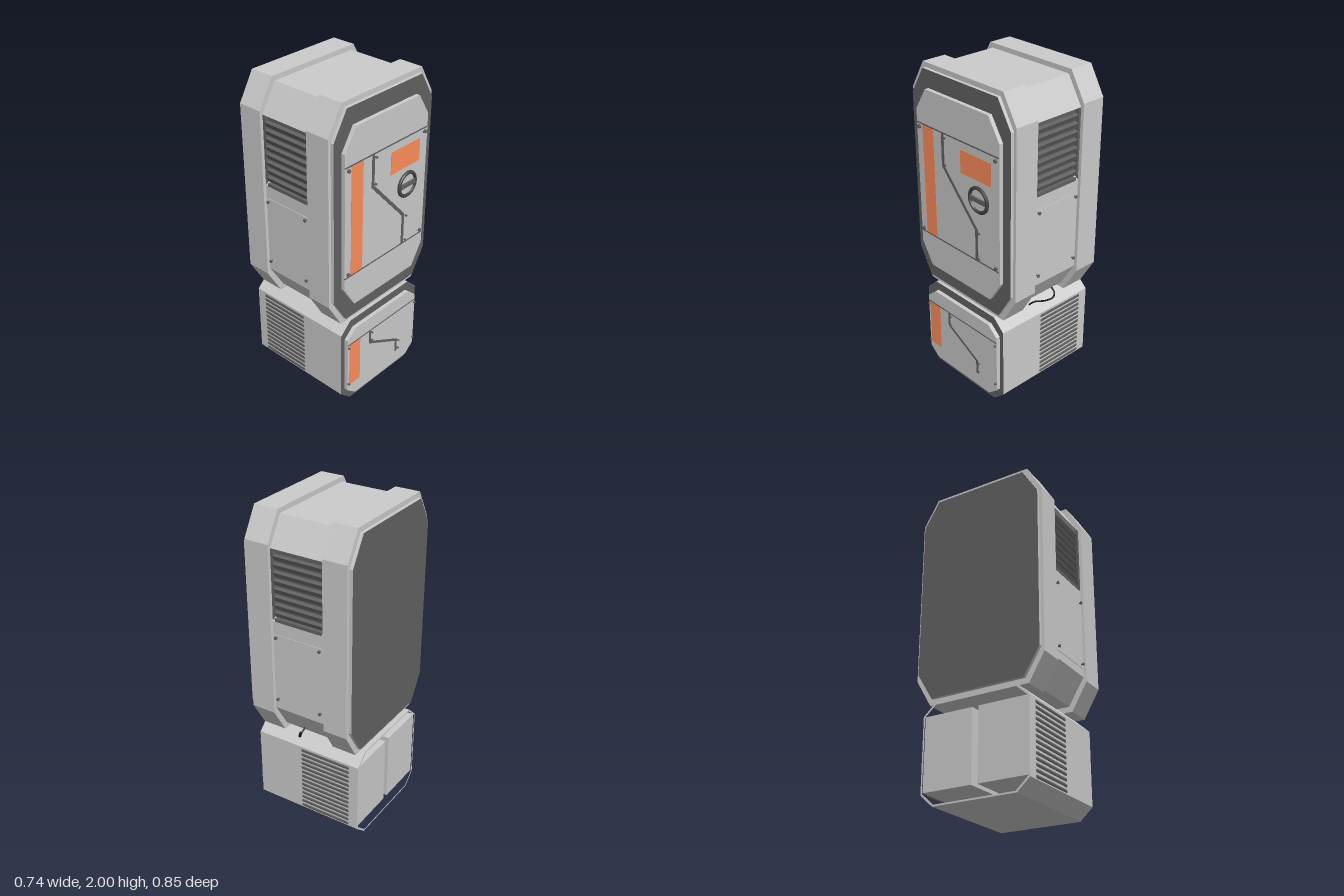
import * as THREE from 'three';

const mat = (color) => new THREE.MeshStandardMaterial({ color });
const grey = mat(0xcccccc), dark = mat(0x626262), orange = mat(0xff8e5c), black = mat(0x1a1a1a);

// Chamfered rectangle in (z, y): half depth, bottom, top, chamfer depth and chamfer height
const octagon = (hz, y0, y1, cz, cy) => [
  [hz - cz, y0], [hz, y0 + cy], [hz, y1 - cy], [hz - cz, y1],
  [cz - hz, y1], [-hz, y1 - cy], [-hz, y0 + cy], [cz - hz, y0],
];
const toVectors = (pts) => pts.map(([z, y]) => new THREE.Vector2(-z, y));

export function createModel() {
  const root = new THREE.Group();

  const add = (name, geometry, material, parent = root) => {
    const mesh = new THREE.Mesh(geometry, material);
    mesh.name = name;
    parent.add(mesh);
    return mesh;
  };
  // Extrude a (z, y) outline from x0 to x1; material may be [ends, sides]
  const slab = (name, pts, x0, x1, material, hole) => {
    const shape = new THREE.Shape(toVectors(pts));
    if (hole) shape.holes.push(new THREE.Path(toVectors(hole)));
    const g = new THREE.ExtrudeGeometry(shape, { depth: x1 - x0, bevelEnabled: false });
    g.rotateY(Math.PI / 2).translate(x0, 0, 0);
    return add(name, g, material);
  };
  const box = (name, x0, x1, y0, y1, z0, z1, material, parent) => {
    const mesh = add(name, new THREE.BoxGeometry(x1 - x0, y1 - y0, z1 - z0), material, parent);
    mesh.position.set((x0 + x1) / 2, (y0 + y1) / 2, (z0 + z1) / 2);
    return mesh;
  };
  // Bolt standing on the side face (+x)
  const sideBolt = (z, y, r) => {
    const mesh = add('sideBolt', new THREE.CylinderGeometry(r, r, 0.012, 12), dark);
    mesh.rotation.z = -Math.PI / 2;
    mesh.position.set(0.36, y, z);
  };
  // Raised dark trim following a bent line on the side face
  const trim = (pts, w = 0.01) => {
    const n = pts.length;
    const slope = (a, b) => {
      const d = Math.hypot(b[0] - a[0], b[1] - a[1]);
      return [-(b[1] - a[1]) / d, (b[0] - a[0]) / d];
    };
    const edge = (s) => pts.map((p, i) => {
      const a = slope(pts[Math.max(i - 1, 0)], pts[Math.max(i, 1)]);
      const b = slope(pts[Math.min(i, n - 2)], pts[Math.min(i + 1, n - 1)]);
      const k = (s * w) / (1 + a[0] * b[0] + a[1] * b[1]);
      return [p[0] + (a[0] + b[0]) * k, p[1] + (a[1] + b[1]) * k];
    });
    slab('panelTrim', [...edge(1), ...edge(-1).reverse()], 0.35, 0.358, dark);
  };

  // Upper cabinet: solid ends, and a middle notched front and back for the vents
  const body = octagon(0.405, 0.635, 1.97, 0.1, 0.165);
  slab('cabinetEnd', body, -0.365, -0.19, [dark, grey]);
  slab('cabinetEnd', body, 0.155, 0.33, [dark, grey]);
  const d = 0.375, v0 = 1.37, v1 = 1.805;
  const notched = [
    ...body.slice(0, 2), [0.405, v0], [d, v0 + 0.02], [d, v1], ...body.slice(2, 6),
    [-d, v1], [-d, v0 + 0.02], [-0.405, v0], ...body.slice(6),
  ];
  slab('cabinetMiddle', notched, -0.19, 0.155, grey);
  // Ribs wrapped round the cabinet
  const rib = octagon(0.425, 0.6, 2.0, 0.1, 0.17);
  const ribHole = octagon(0.404, 0.636, 1.969, 0.1, 0.165);
  for (const x of [-0.345, 0.155]) slab('cabinetRib', rib, x, x + 0.155, grey, ribHole);

  // Vent, access plate and bolts, repeated front and back
  for (const side of [1, -1]) {
    const face = new THREE.Group();
    face.name = side > 0 ? 'frontFace' : 'backFace';
    root.add(face);
    const span = (name, x0, x1, y0, y1, za, zb, m) =>
      box(name, x0, x1, y0, y1, Math.min(za * side, zb * side), Math.max(za * side, zb * side), m, face);
    span('ventBack', -0.19, 0.155, v0 + 0.02, v1 - 0.005, 0.37, 0.38, dark);
    span('ventSill', -0.17, 0.14, v0, v0 + 0.02, 0.38, 0.407, dark);
    for (const x of [-0.19, 0.14]) span('ventFrame', x, x + 0.015, v0 + 0.03, v1, 0.375, 0.405, dark);
    for (let i = 0; i < 8; i++) {
      const y = 1.415 + i * 0.0485;
      const slat = span('ventSlat', -0.175, 0.14, y - 0.014, y + 0.014, 0.38, 0.402, dark);
      slat.rotation.x = side * 0.35;
    }
    span('accessPlate', -0.18, 0.145, 0.85, 1.29, 0.4, 0.408, grey);
    for (const x of [-0.163, 0.128]) for (const y of [0.87, 1.275]) {
      for (const [r, z, h] of [[0.005, 0.413, 0.014], [0.01, 0.422, 0.006]]) {
        const bolt = add('plateBolt', new THREE.CylinderGeometry(r, r, h, 12), dark, face);
        bolt.rotation.x = Math.PI / 2;
        bolt.position.set(x, y, side * z);
      }
    }
    // Cooling slots of the base
    for (let i = 0; i < 14; i++) {
      const slot = add('baseSlot', new THREE.CapsuleGeometry(0.01, 0.32, 4, 8), dark, face);
      slot.rotation.z = Math.PI / 2;
      slot.scale.z = 0.4;
      slot.position.set(-0.145, 0.09 + i * 0.0318, side * 0.345);
    }
  }

  // Upper side panel
  slab('cabinetSidePanel', octagon(0.345, 0.735, 1.865, 0.085, 0.135), 0.33, 0.355, grey);
  for (const y of [0.95, 1.65]) box('panelSeam', 0.35, 0.357, y - 0.004, y + 0.004, -0.34, 0.345, dark);
  box('orangeStripe', 0.35, 0.3565, 0.954, 1.646, 0.2, 0.295, orange);
  box('orangeLabel', 0.35, 0.3575, 1.46, 1.6, -0.28, -0.03, orange);
  trim([[0.12, 1.65], [0.12, 1.45], [-0.155, 1.15], [-0.155, 0.95]]);
  for (const z of [0.32, -0.318]) for (const y of [0.97, 1.628]) sideBolt(z, y, 0.011);
  for (const [z, y] of [[0.1, 1.625], [0.1, 1.46], [-0.178, 1.135], [-0.178, 0.968]]) sideBolt(z, y, 0.007);

  // Rotary switch: rim, dished face and grip
  const dial = new THREE.Group();
  dial.name = 'rotarySwitch';
  dial.position.set(0.355, 1.345, -0.178);
  dial.rotation.z = -Math.PI / 2;
  root.add(dial);
  const rim = [[0.062, 0], [0.083, 0], [0.083, 0.007], [0.076, 0.014], [0.066, 0.014], [0.062, 0.002]];
  add('switchRim', new THREE.LatheGeometry(rim.map((p) => new THREE.Vector2(...p)), 32), mat(0x444444), dial)
    .material.flatShading = true;
  add('switchFace', new THREE.CylinderGeometry(0.064, 0.064, 0.004, 32), grey, dial);
  box('switchGrip', -0.013, 0.013, 0, 0.014, -0.064, 0.064, dark, dial);

  // Base: shell open on the left, dark end plate on the right
  const base = octagon(0.345, 0, 0.6, 0.08, 0.073);
  slab('baseShell', base, -0.375, 0.31, grey, octagon(0.335, 0.01, 0.59, 0.078, 0.07));
  slab('baseEndPlate', base, 0.31, 0.33, [dark, grey]);
  for (const z of [-0.335, 0.02]) box('baseInnerModule', -0.37, 0.3, 0.085, 0.525, z, z + 0.315, grey);

  // Lower side panel
  slab('baseSidePanel', octagon(0.315, 0.043, 0.547, 0.07, 0.06), 0.33, 0.355, grey);
  box('panelSeam', 0.35, 0.357, 0.447, 0.454, -0.315, 0.315, dark);
  box('orangeStripe', 0.35, 0.3565, 0.138, 0.447, 0.205, 0.3, orange);
  trim([[0.115, 0.45], [0.115, 0.36], [-0.14, 0.225], [-0.14, 0.135]], 0.008);
  for (const z of [0.308, -0.308]) for (const y of [0.15, 0.43]) sideBolt(z, y, 0.007);
  for (const [z, y] of [[0.1, 0.43], [0.1, 0.372], [-0.158, 0.212], [-0.158, 0.152]]) sideBolt(z, y, 0.006);

  // Cable looping from the base to the cabinet at the back
  const path = new THREE.CatmullRomCurve3([
    [0.07, 0.57, -0.28], [0.05, 0.605, -0.315], [0.015, 0.628, -0.375],
    [-0.015, 0.655, -0.408], [-0.025, 0.685, -0.405], [-0.03, 0.705, -0.375],
  ].map((p) => new THREE.Vector3(...p)));
  add('cable', new THREE.TubeGeometry(path, 32, 0.005, 8), black);

  return root;
}
